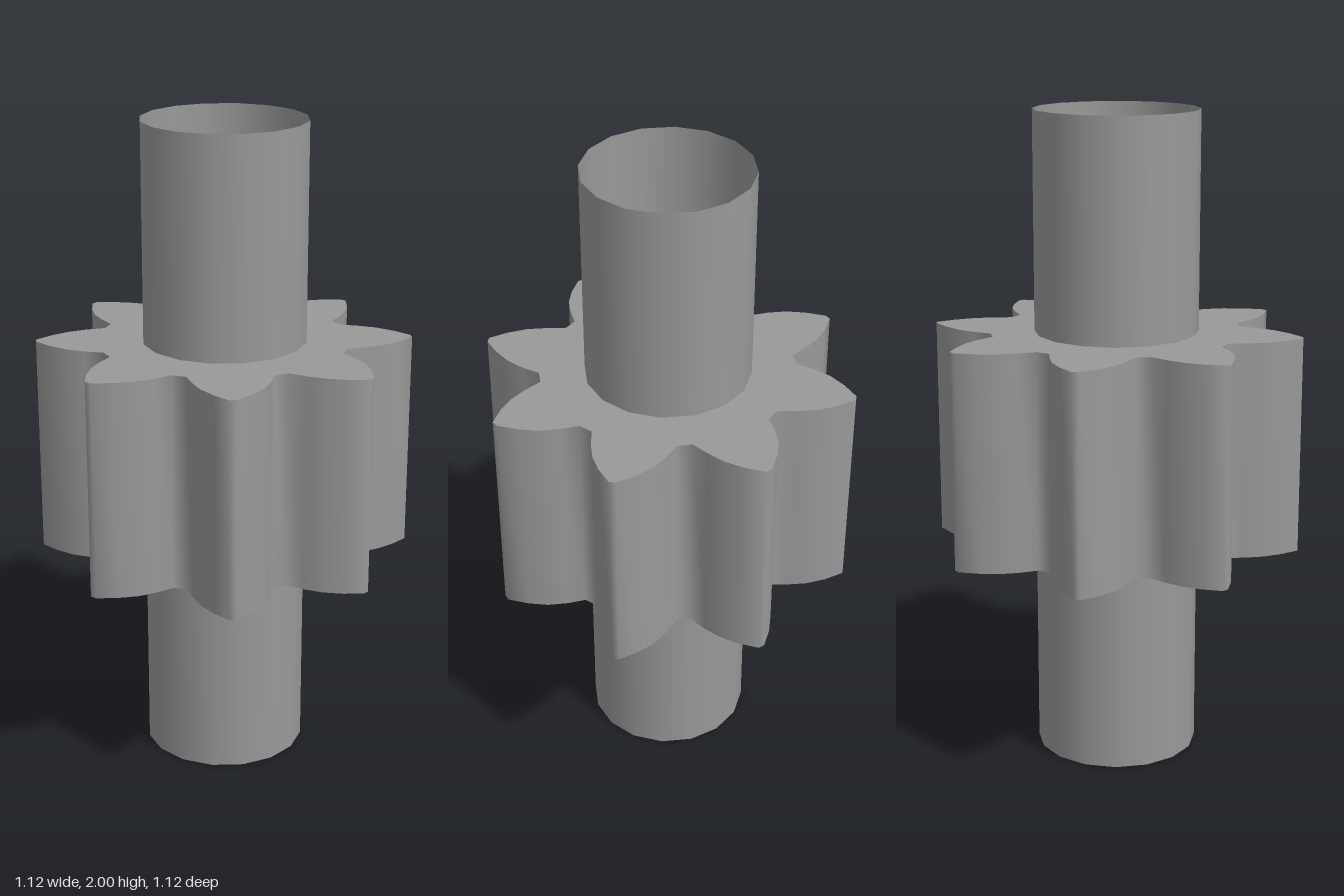
import * as THREE from 'three';
import { toCreasedNormals } from 'three/addons/utils/BufferGeometryUtils.js';

const TEETH = 8, BORE = 0.25, SIDES = 16;
const GEAR_BOTTOM = 0.667, GEAR_TOP = 1.333, HEIGHT = 2;

// One curved tooth, from its root edge round the tip to the next root
const TOOTH = [
  [0.38, -0.055], [0.433, -0.03], [0.482, 0.002], [0.524, 0.047], [0.559, 0.1],
  [0.557, 0.12], [0.503, 0.154], [0.447, 0.177], [0.392, 0.187], [0.332, 0.191],
];

function gearGeometry() {
  const outline = [];
  for (let i = 0; i < TEETH; i++) {
    const angle = (i / TEETH) * Math.PI * 2;
    for (const [x, y] of TOOTH) {
      outline.push(new THREE.Vector2(x, y).rotateAround(new THREE.Vector2(), angle));
    }
  }
  const shape = new THREE.Shape(outline);

  // Bore with the same facets as the shaft
  const bore = [];
  for (let i = 0; i < SIDES; i++) {
    const a = (-i / SIDES) * Math.PI * 2;
    bore.push(new THREE.Vector2(Math.cos(a) * BORE, Math.sin(a) * BORE));
  }
  shape.holes.push(new THREE.Path(bore));

  const geometry = new THREE.ExtrudeGeometry(shape, {
    depth: GEAR_TOP - GEAR_BOTTOM, bevelEnabled: false, steps: 1,
  });
  geometry.rotateX(Math.PI / 2).translate(0, GEAR_TOP, 0);
  return toCreasedNormals(geometry, 1.2);
}

export function createModel() {
  const group = new THREE.Group();
  group.name = 'pinionGear';
  const steel = new THREE.MeshStandardMaterial({ color: 0x999999, side: THREE.DoubleSide });
  steel.name = 'steel grey';

  // Toothed wheel
  const gear = new THREE.Mesh(gearGeometry(), steel);
  gear.name = 'toothedWheel';
  group.add(gear);

  // Hollow open shaft below and above the wheel
  for (const [name, y0, y1] of [['lowerShaft', 0, GEAR_BOTTOM], ['upperShaft', GEAR_TOP, HEIGHT]]) {
    const tube = new THREE.CylinderGeometry(BORE, BORE, y1 - y0, SIDES, 1, true);
    const shaft = new THREE.Mesh(tube, steel);
    shaft.name = name;
    shaft.position.y = (y0 + y1) / 2;
    group.add(shaft);
  }
  return group;
}
